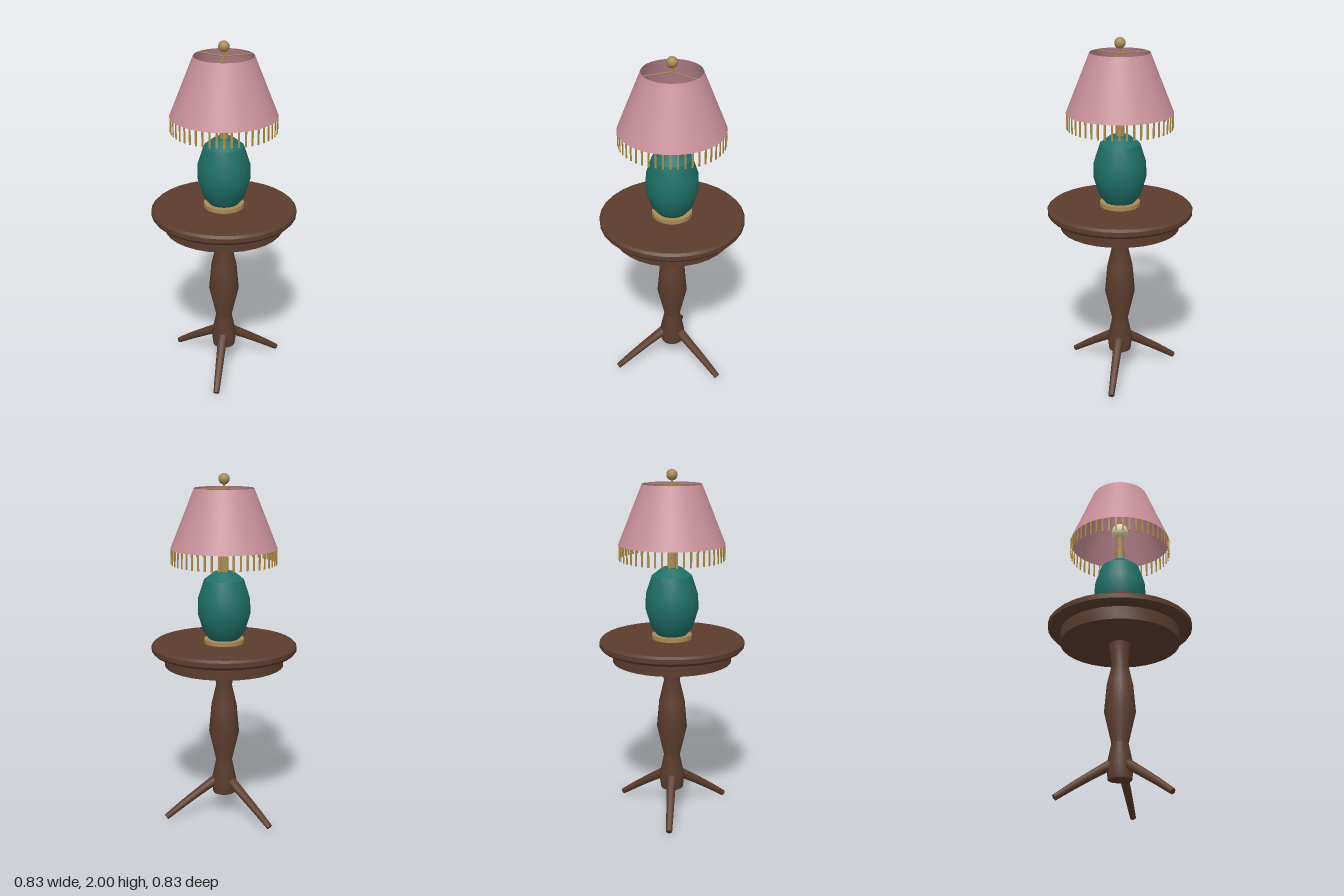
import * as THREE from 'three';
import { toCreasedNormals } from 'three/addons/utils/BufferGeometryUtils.js';

const mat = (name, color, side = THREE.FrontSide) => {
  const m = new THREE.MeshStandardMaterial({ color, side });
  m.name = name;
  return m;
};

export function createModel() {
  const wood = mat('dark wood', 0x5c3d2e);
  const teal = mat('teal ceramic', 0x1f6f68);
  const brass = mat('brass', 0xa88a56);
  const pink = mat('pink fabric', 0xc9909a, THREE.DoubleSide);
  const gold = mat('gold fringe', 0xb08d4a);
  const cream = mat('bulb glass', 0xe8d9b0);

  const model = new THREE.Group();
  model.name = 'tableWithLamp';

  const add = (parent, name, geometry, material) => {
    const mesh = new THREE.Mesh(geometry, material);
    mesh.name = name;
    parent.add(mesh);
    return mesh;
  };
  // Turned part from [radius, height] pairs, bottom to top
  const turned = (parent, name, profile, sides, material) => {
    const points = profile.map(([r, y]) => new THREE.Vector2(r, y));
    return add(parent, name, toCreasedNormals(new THREE.LatheGeometry(points, sides), 0.5), material);
  };
  const group = (name) => {
    const g = new THREE.Group();
    g.name = name;
    model.add(g);
    return g;
  };

  // Table
  const table = group('table');
  turned(table, 'tabletop', [[0, 1.0], [0.4, 1.0], [0.413, 1.015], [0.413, 1.04], [0.4, 1.053], [0, 1.053]], 32, wood);
  turned(table, 'apron', [[0, 0.925], [0.34, 0.925], [0.34, 1.0]], 32, wood);
  turned(table, 'pedestal', [
    [0, 0.138], [0.065, 0.138], [0.074, 0.21], [0.047, 0.34], [0.088, 0.52],
    [0.074, 0.68], [0.046, 0.8], [0.064, 0.93],
  ], 20, wood);

  // Tapered legs: a cylinder bent along a curve, repeated three times
  const path = new THREE.CatmullRomCurve3([
    new THREE.Vector3(0.06, 0.213, 0), new THREE.Vector3(0.14, 0.163, 0),
    new THREE.Vector3(0.26, 0.084, 0), new THREE.Vector3(0.355, 0.017, 0),
  ]);
  const legGeometry = new THREE.CylinderGeometry(0.029, 0.017, 1, 10, 6);
  const pos = legGeometry.attributes.position;
  for (let i = 0; i < pos.count; i++) {
    const t = THREE.MathUtils.clamp(0.5 - pos.getY(i), 0, 1);
    const p = path.getPoint(t);
    const d = path.getTangent(t).negate();
    pos.setXYZ(i, p.x + d.y * pos.getX(i), p.y - d.x * pos.getX(i), pos.getZ(i));
  }
  const legSmooth = toCreasedNormals(legGeometry, 0.8);
  const spokeAngles = [0, 1, 2].map((i) => Math.PI / 2 + (i * Math.PI * 2) / 3);
  spokeAngles.forEach((a) => {
    add(table, 'leg', legSmooth, wood).rotation.y = a;
  });

  // Lamp base, body and stem
  const lamp = group('lamp');
  turned(lamp, 'lampBase', [[0, 1.053], [0.114, 1.053], [0.114, 1.077], [0, 1.077]], 24, brass);
  turned(lamp, 'lampBody', [
    [0, 1.077], [0.085, 1.077], [0.118, 1.118], [0.15, 1.225], [0.147, 1.31],
    [0.113, 1.415], [0.055, 1.46], [0, 1.46],
  ], 20, teal);
  turned(lamp, 'socket', [[0.026, 1.455], [0.026, 1.54], [0.022, 1.54], [0.022, 1.635], [0, 1.635]], 14, brass);
  add(lamp, 'bulb', new THREE.SphereGeometry(0.05, 16, 12), cream).position.y = 1.67;

  // Shade, its wire spider and finial
  const shade = group('lampShade');
  add(shade, 'shade', new THREE.CylinderGeometry(0.165, 0.298, 0.33, 48, 1, true), pink).position.y = 1.755;
  spokeAngles.forEach((a) => {
    const holder = new THREE.Group();
    holder.name = 'shadeSpoke';
    holder.rotation.y = a;
    shade.add(holder);
    const rod = add(holder, 'spokeRod', new THREE.CylinderGeometry(0.004, 0.004, 0.165, 6), brass);
    rod.rotation.z = Math.PI / 2;
    rod.position.set(0.0825, 1.915, 0);
  });
  add(shade, 'finialRod', new THREE.CylinderGeometry(0.006, 0.006, 0.05, 8), brass).position.y = 1.93;
  add(shade, 'finial', new THREE.SphereGeometry(0.031, 14, 10), brass).position.y = 1.969;

  // Hanging fringe strips
  const strip = new THREE.BoxGeometry(0.011, 0.085, 0.004);
  const count = 48;
  for (let i = 0; i < count; i++) {
    const a = (i / count) * Math.PI * 2;
    const s = add(shade, 'fringeStrip', strip, gold);
    s.position.set(Math.sin(a) * 0.295, 1.547, Math.cos(a) * 0.295);
    s.rotation.y = a;
  }
  return model;
}
